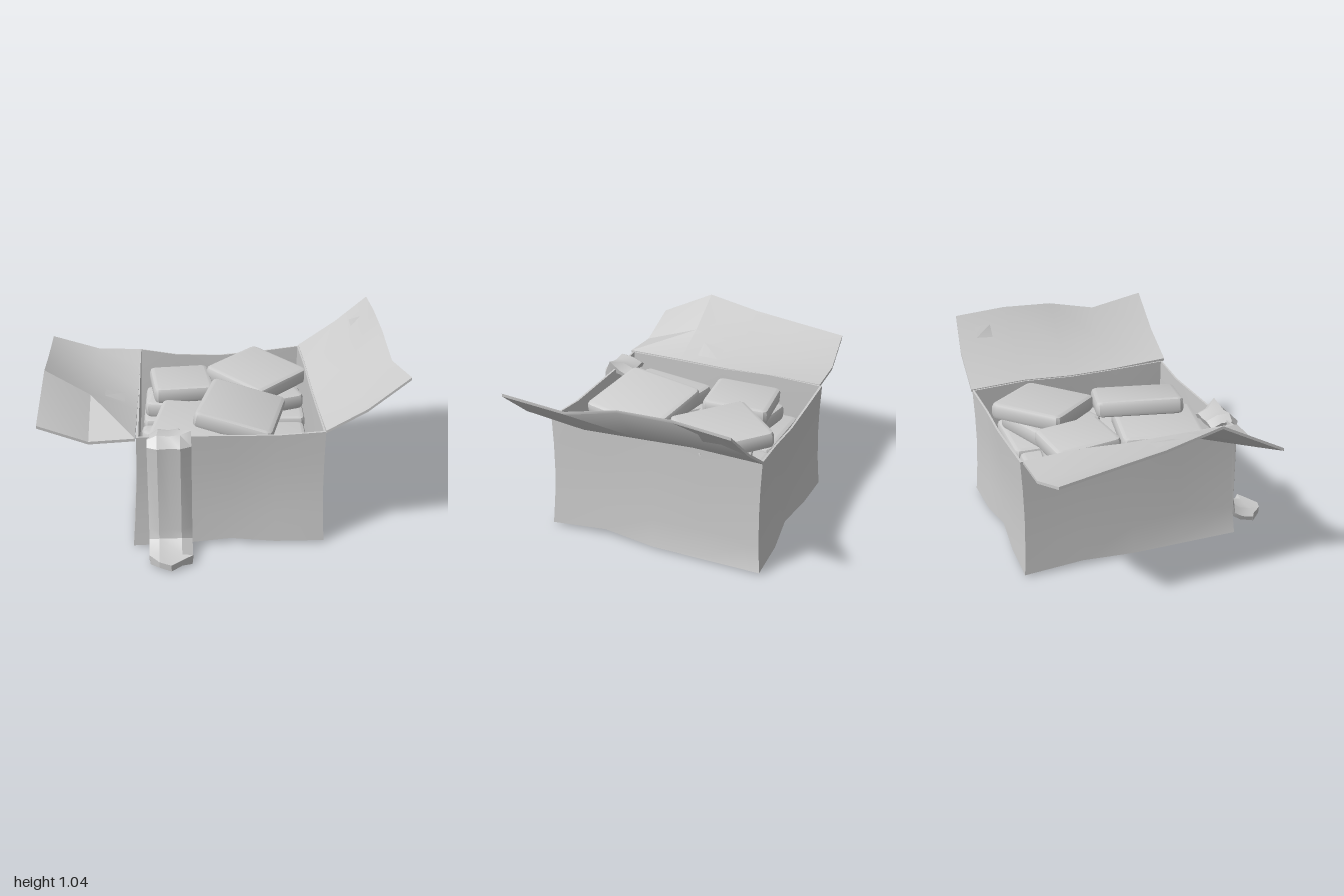
import * as THREE from 'three';
import { toCreasedNormals } from 'three/addons/utils/BufferGeometryUtils.js';

const grey = new THREE.MeshStandardMaterial({ color: 0xcccccc, side: THREE.DoubleSide });
grey.name = 'plain grey';

// Joins equal rings of [x, y, z] points into a closed solid, with strip caps at both ends
function loft(name, rings, crease) {
  const n = rings[0].length, tris = [];
  const quad = (a, b, c, d) => tris.push(a, b, c, a, c, d);
  for (let r = 0; r + 1 < rings.length; r++) {
    for (let i = 0; i < n; i++) {
      const j = (i + 1) % n;
      quad(rings[r][i], rings[r][j], rings[r + 1][j], rings[r + 1][i]);
    }
  }
  const first = rings[0], last = rings[rings.length - 1];
  for (let i = 0; i < n / 2 - 1; i++) {
    const k = n - 1 - i;
    quad(first[i], first[k], first[k - 1], first[i + 1]);
    quad(last[i], last[i + 1], last[k - 1], last[k]);
  }
  // Turn the faces outward if the enclosed volume is negative
  let volume = 0;
  const v = tris.map(p => new THREE.Vector3(...p));
  for (let i = 0; i < v.length; i += 3) volume += v[i].dot(v[i + 1].clone().cross(v[i + 2]));
  if (volume < 0) for (let i = 0; i < v.length; i += 3) [v[i + 1], v[i + 2]] = [v[i + 2], v[i + 1]];
  const geo = toCreasedNormals(new THREE.BufferGeometry().setFromPoints(v), crease);
  const mesh = new THREE.Mesh(geo, grey);
  mesh.name = name;
  return mesh;
}

// Open carton: the foot of the walls is wavy, the rim is nearly straight
function carton() {
  const xs = [-0.5, -0.23, 0.05, 0.3, 0.575], zs = [0.5, 0.17, -0.13, -0.43, -0.765];
  const rimX = [-0.465, -0.23, 0.05, 0.3, 0.562], rimZ = [0.485, 0.17, -0.13, -0.43, -0.755];
  const sideTop = [0.7, 0.69, 0.685, 0.7, 0.685];
  const lift = [0, 0.028, 0, 0.015, 0];
  const cols = []; // foot x, foot z, rim x, rim z, rim height, foot lift
  for (let i = 0; i < 4; i++) cols.push([xs[i], [0.5, 0.49, 0.475, 0.495][i], rimX[i], i ? 0.475 : 0.485, 0.692 - 0.004 * i, [0, 0, 0.015, 0][i]]);
  for (let i = 0; i < 4; i++) cols.push([0.575 - lift[i] * 0.5, zs[i], 0.562, rimZ[i], sideTop[i], lift[i]]);
  for (let i = 4; i > 0; i--) cols.push([xs[i], [0, -0.76, -0.732, -0.76, -0.765][i], rimX[i], i < 4 ? -0.742 : -0.755, [0, 0.65, 0.64, 0.66, 0.685][i], [0, 0.01, 0.02, 0, 0][i]]);
  for (let i = 4; i > 0; i--) cols.push([-0.5 + lift[i] * 0.5, zs[i], -0.465, rimZ[i], sideTop[i], lift[i]]);
  const ring = (t, inset, floor = 0) => cols.map(([x0, z0, x1, z1, top, low]) => {
    const bow = Math.sin(Math.PI * t);
    const x = x0 + (x1 - x0) * t - 0.0375, z = z0 + (z1 - z0) * t + 0.1325;
    const foot = 0.015 + low + floor;
    return [
      0.0375 + x * (1 - (inset + 0.007 * bow) / 0.52),
      foot + (top - foot) * t,
      -0.1325 + z * (1 - (inset + 0.013 * bow) / 0.62),
    ];
  });
  return loft('carton', [ring(0, 0), ring(0.25, 0), ring(0.5, 0), ring(0.75, 0), ring(1, 0),
    ring(1, 0.012), ring(0.5, 0.012), ring(0, 0.012, 0.015)], 0.6);
}

// Bent lid flap: each station is [z, [x, y] hinge, [x, y] fold, [x, y] outer edge]
function flap(name, stations, crease) {
  return loft(name, stations.map(([z, ...pts]) => {
    const top = pts.map(([x, y], i) => [x, y, z + (i === 2 && z < -0.7 ? 0.025 : 0)]);
    return [...top, ...top.map(([x, y, q]) => [x, y - 0.016, q]).reverse()];
  }), crease);
}

// Flat rounded parcel, turned about its own axis and then tipped sideways and forward
function parcel(w, d, x, top, z, turn, tilt = 0, pitch = 0) {
  const bevel = 0.024, thick = 0.095;
  const a = w / 2 - bevel, b = d / 2 - bevel, r = 0.02;
  const s = new THREE.Shape();
  s.moveTo(-a + r, -b).lineTo(a - r, -b).quadraticCurveTo(a, -b, a, -b + r);
  s.lineTo(a, b - r).quadraticCurveTo(a, b, a - r, b);
  s.lineTo(-a + r, b).quadraticCurveTo(-a, b, -a, b - r);
  s.lineTo(-a, -b + r).quadraticCurveTo(-a, -b, -a + r, -b);
  const geo = new THREE.ExtrudeGeometry(s, {
    depth: thick - 2 * bevel, bevelThickness: bevel, bevelSize: bevel, bevelSegments: 2, curveSegments: 3,
  });
  geo.center().rotateX(-Math.PI / 2);
  const mesh = new THREE.Mesh(toCreasedNormals(geo, 0.5), grey);
  mesh.name = 'parcel';
  mesh.position.set(x, top - thick / 2, z);
  mesh.rotation.set(pitch, turn, tilt, 'XZY');
  return mesh;
}

// Padded strap hanging over the front rim and curling out at the foot
function strap() {
  const path = [[0.38, 0.655], [0.44, 0.68], [0.5, 0.685], [0.532, 0.655], [0.532, 0.15], [0.548, 0.085], [0.6, 0.052], [0.67, 0.034], [0.735, 0.028]];
  const section = [[-0.12, 0], [-0.065, 0.03], [0, 0.022], [0.06, 0.03], [0.12, 0],
    [0.115, -0.025], [0.06, -0.008], [0, -0.018], [-0.065, -0.008], [-0.115, -0.025]];
  const ragged = [-0.06, 0, 0.025, -0.015, -0.05, -0.05, -0.015, 0.025, 0, -0.06];
  return loft('strap', path.map(([z, y], k) => {
    const p = path[Math.max(k - 1, 0)], q = path[Math.min(k + 1, path.length - 1)];
    const len = Math.hypot(q[0] - p[0], q[1] - p[1]);
    const nz = -(q[1] - p[1]) / len, ny = (q[0] - p[0]) / len;
    const end = k === path.length - 1;
    return section.map(([x, n], i) => [
      -0.29 + x * (k < 2 ? 0.9 : 1),
      y + ny * n + (k === 2 && i === 4 ? 0.05 : 0) + (end && (i === 0 || i === 4) ? 0.035 : 0),
      z + nz * n + (end ? ragged[i] : 0),
    ]);
  }), 0.45);
}

export function createModel() {
  const model = new THREE.Group();
  model.name = 'open carton with parcels';
  model.add(carton(), strap());

  model.add(flap('leftFlap', [
    [0.5, [0.56, 0.715], [0.78, 0.84], [1.0, 1.02]],
    [0.16, [0.56, 0.695], [0.78, 0.8], [0.965, 0.97]],
    [-0.13, [0.56, 0.69], [0.78, 0.82], [0.96, 1.035]],
    [-0.43, [0.56, 0.705], [0.78, 0.83], [0.965, 1.045]],
    [-0.76, [0.56, 0.69], [0.79, 0.85], [0.975, 1.02]],
  ], 0.8));
  model.add(flap('rightFlap', [
    [0.5, [-0.47, 0.695], [-0.72, 0.682], [-0.99, 0.785]],
    [0.16, [-0.465, 0.695], [-0.72, 0.8], [-0.965, 0.955]],
    [-0.15, [-0.46, 0.69], [-0.72, 0.74], [-0.98, 0.885]],
    [-0.45, [-0.46, 0.7], [-0.72, 0.72], [-0.99, 0.84]],
    [-0.74, [-0.465, 0.69], [-0.72, 0.7], [-1.0, 0.8]],
  ], 0.4));

  // Parcels: lower, middle and top layers
  const parcels = new THREE.Group();
  parcels.name = 'parcels';
  for (const top of [0.38, 0.48]) {
    parcels.add(
      parcel(0.48, 0.5, -0.19, top, -0.38, -0.03),
      parcel(0.48, 0.5, 0.3, top, -0.38, -0.03),
      parcel(0.48, 0.52, -0.2, top, 0.16, 0.03),
      parcel(0.5, 0.52, 0.26, top, 0.16, -0.03));
  }
  parcels.add(
    parcel(0.4, 0.4, -0.2, 0.575, -0.34, -0.17),
    parcel(0.44, 0.44, 0.26, 0.59, -0.36, 0.33),
    parcel(0.38, 0.38, -0.19, 0.55, 0.12, 0.8),
    parcel(0.46, 0.48, -0.14, 0.635, 0.16, -0.2),
    parcel(0.36, 0.39, -0.205, 0.668, -0.35, 0.09, 0, -0.05),
    parcel(0.455, 0.455, 0.257, 0.697, -0.405, 0.76, -0.03, 0.06),
    parcel(0.45, 0.51, 0.12, 0.708, 0.13, -0.27, -0.2, 0.04));
  model.add(parcels);
  return model;
}
